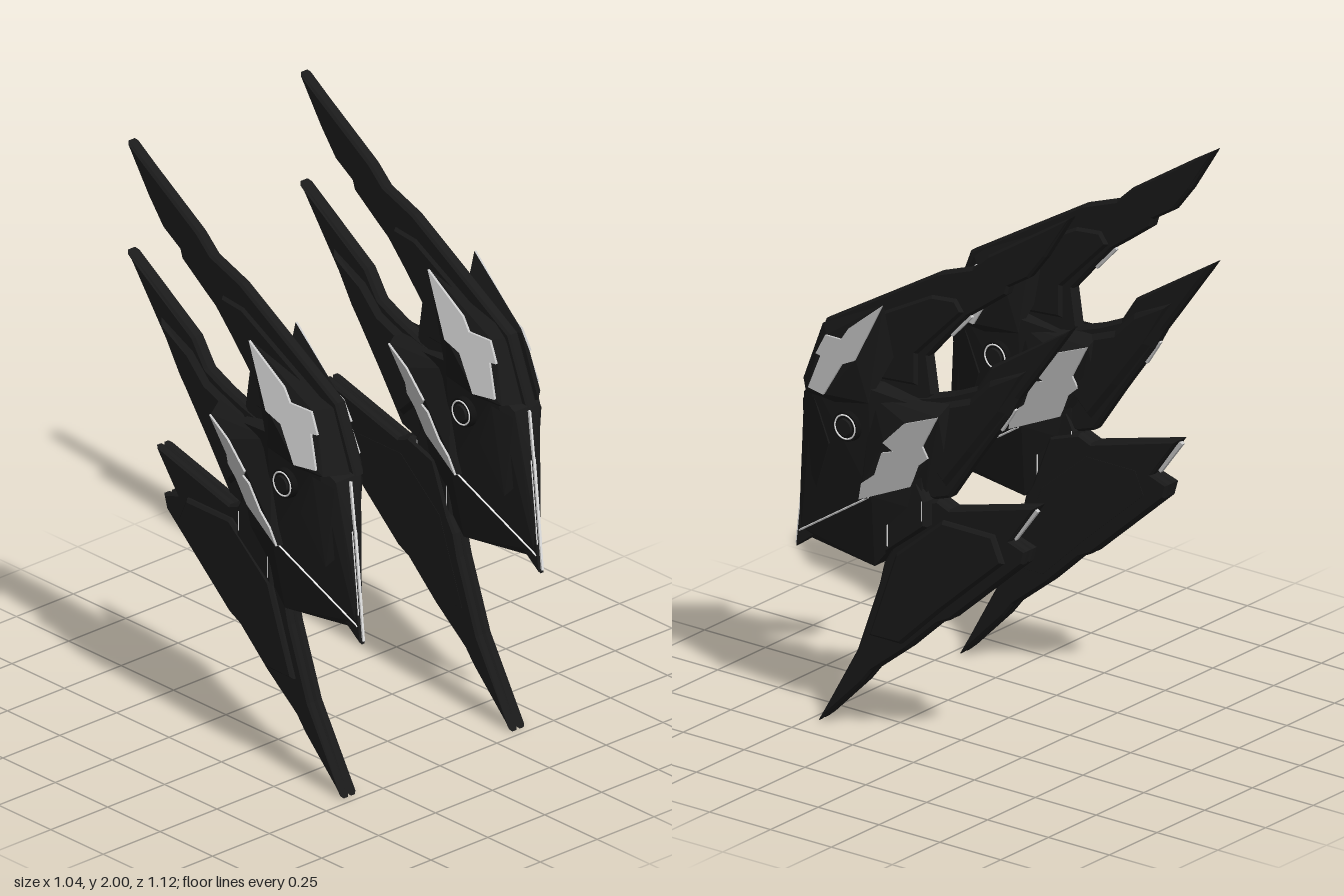
import * as THREE from 'three';
import { ConvexGeometry } from 'three/addons/geometries/ConvexGeometry.js';

const mat = (name, color) => Object.assign(new THREE.MeshStandardMaterial({ color }), { name });

// Outlines are [z, y] pairs in side profile
const UPPER = [[-.56, 2], [-.46, 1.94], [-.225, 1.79], [-.16, 1.73], [-.02, 1.68], [.44, 1.41], [.53, 1.18], [.46, 1.19],
  [.25, 1.13], [.03, 1.21], [0, 1.25], [.02, 1.38], [-.06, 1.47], [-.14, 1.555], [-.19, 1.59], [-.3, 1.67], [-.31, 1.7],
  [-.39, 1.75], [-.46, 1.84]];
const UPPER_LAYER = [[-.1, 1.61], [0, 1.6], [.38, 1.4], [.3, 1.25], [.06, 1.27], [.06, 1.38], [-.03, 1.47], [-.13, 1.57]];
const MIDDLE = [[-.56, 1.61], [-.24, 1.41], [-.18, 1.32], [-.09, 1.28], [0, 1.25], [.25, 1.18], [.2, .87], [-.01, .89],
  [-.07, .91], [-.18, 1.07], [-.31, 1.25], [-.35, 1.32], [-.54, 1.58]];
const MIDDLE_LAYER = [[-.39, 1.43], [-.24, 1.36], [-.16, 1.28], [0, 1.22], [.1, 1.1], [-.06, .95], [-.17, 1.09], [-.3, 1.26]];
const LOWER = [[-.42, .96], [-.07, .87], [-.02, .89], [.1, .85], [.17, .67], [.2, .62], [.22, .54], [.31, .29], [.47, .005],
  [.44, .03], [.29, .18], [.25, .23], [.11, .34], [-.02, .46], [-.07, .485], [-.37, .75], [-.385, .8], [-.32, .82]];
const LOWER_LAYER = [[-.26, .83], [-.05, .83], [.14, .67], [.19, .53], [.25, .36], [.12, .36], [-.05, .52], [-.3, .74]];
const KEEL = [[.5, 1.08], [.52, .97], [.56, .59], [.475, .65], [.4, .8]];
const UPPER_PANEL = [[.13, 1.56], [.23, 1.35], [.29, 1.32], [.36, 1.2], [.44, 1.2], [.4, 1.315], [.425, 1.315],
  [.39, 1.385], [.31, 1.395], [.28, 1.44]];
const LOWER_PANEL = [[-.08, 1.215], [-.01, 1.095], [-.02, 1.05], [.02, 1.015], [.06, .93], [.24, .855], [.22, .92],
  [.17, .96], [.13, 1.05], [.09, 1.06], [.12, 1.09], [.035, 1.175]];
const HIP = [[.17, .865], [.035, .955], [0, .89], [0, .8], [.17, .67]];

// Side-profile plate of thickness t, with edges chamfered inward
function plateGeometry(outline, t, bevel = 0) {
  const shape = new THREE.Shape(outline.map(([z, y]) => new THREE.Vector2(-z, y)));
  const g = new THREE.ExtrudeGeometry(shape, {
    depth: t - 2 * bevel, bevelEnabled: bevel > 0, bevelThickness: bevel,
    bevelSize: bevel, bevelOffset: -bevel, bevelSegments: 1,
  });
  return g.translate(0, 0, bevel - t / 2).rotateY(Math.PI / 2);
}

// Shift a plate sideways so that it lies on the slope x = f(z, y)
function slope(g, f) {
  const p = g.attributes.position;
  for (let i = 0; i < p.count; i++) p.setX(i, p.getX(i) + f(p.getZ(i), p.getY(i)));
  g.computeVertexNormals();
  return g;
}

// The upper panel faces forward and up, the lower one backward and down
const upperSlope = (z, y) => .112 - .28 * (z - .27) - .22 * (y - 1.34);
const lowerSlope = (z, y) => .076 + .33 * (z - .05) + .29 * (y - 1.04);

export function createModel() {
  const black = mat('black armour', 0x1a1a1a);
  const dark = mat('dark metal', 0x111111);
  const silver = mat('silver panel', 0xc8c8c8);
  const white = mat('white seam', 0xf4f4f4);
  const model = new THREE.Group();

  function buildUnit(side) {
    const unit = new THREE.Group();
    unit.name = side > 0 ? 'leftBladeUnit' : 'rightBladeUnit';
    unit.position.x = side * .393;
    const add = (name, g, m) => {
      const mesh = new THREE.Mesh(g, m);
      mesh.name = name;
      unit.add(mesh);
      return mesh;
    };
    const plate = (name, outline, t, bevel, x) => add(name, plateGeometry(outline, t, bevel).translate(x, 0, 0), black);
    // Convex armour block from [z, y, x] corners
    const block = (name, pts) => add(name, new ConvexGeometry(pts.map(([z, y, x]) => new THREE.Vector3(x, y, z))), black);
    // Thin straight strip between two [z, y, x] ends
    const strip = (name, a, b, w, m) => {
      const p = new THREE.Vector3(a[2], a[1], a[0]), q = new THREE.Vector3(b[2], b[1], b[0]);
      const mesh = add(name, new THREE.BoxGeometry(w, w, p.distanceTo(q)), m);
      mesh.position.copy(p).add(q).multiplyScalar(.5);
      mesh.quaternion.setFromUnitVectors(new THREE.Vector3(0, 0, 1), q.sub(p).normalize());
    };

    // Blades sit slightly towards the middle of the model
    const off = -side * .014;
    plate('upperBlade', UPPER, .044, .008, off);
    plate('upperBladeLayer', UPPER_LAYER, .064, .01, off);
    plate('middleBlade', MIDDLE, .05, .01, off);
    plate('middleBladeLayer', MIDDLE_LAYER, .086, .018, off);
    for (const s of [1, -1]) plate('lowerBladeHalf', LOWER, .034, .008, off * 1.6 + s * .016);
    plate('lowerBladeLayer', LOWER_LAYER, .084, .01, off);
    plate('keel', KEEL, .024, .006, 0);
    plate('hipPlate', HIP, .092, .01, 0);

    // Prow: wedge with a side ridge
    const prow = [[.555, .64, 0], [.52, .97, 0]];
    for (const s of [1, -1]) prow.push([.535, .665, s * .012], [.49, 1.16, s * .055], [.43, 1.22, s * .085], [.2, 1.25, s * .09],
      [.2, .87, s * .072], [.22, .61, s * .03], [.18, .68, s * .035], [.02, .85, s * .035], [.02, 1.22, s * .055]);
    block('prow', prow);
    strip('frontSeam', [.561, .6, 0], [.522, .97, 0], .008, white);
    strip('frontSeamTop', [.522, .97, 0], [.5, 1.15, 0], .008, white);

    for (const s of [1, -1]) {
      // Shoulder fin carrying the upper silver panel
      block('shoulderFin', [
        ...UPPER_PANEL.map(([z, y]) => [z, y, s * (upperSlope(z, y) - .004)]),
        [.44, 1.4, s * .02], [.52, 1.19, s * .02], [.3, 1.1, s * .02], [.15, 1.35, s * .02], [.46, 1.18, s * .085],
        [.2, 1.2, s * .09],
      ]);
      add('upperSilverPanel', slope(plateGeometry(UPPER_PANEL, .009), (z, y) => s * upperSlope(z, y)), silver);

      // Flank armour carrying the lower silver panel
      block('flankArmour', [
        ...LOWER_PANEL.map(([z, y]) => [z, y, s * (lowerSlope(z, y) - .004)]),
        [-.09, 1.25, s * .03], [.2, 1.22, s * .07], [.27, .86, s * .03], [.02, .9, s * .02], [-.06, 1.05, s * .02],
      ]);
      add('lowerSilverPanel', slope(plateGeometry(LOWER_PANEL, .009), (z, y) => s * lowerSlope(z, y)), silver);

      // Cheek plate in front of the joint
      block('cheekPlate', [[.49, 1.14, s * .062], [.42, 1.17, s * .094], [.36, 1.02, s * .092], [.44, .84, s * .055],
        [.51, .92, s * .025], [.4, 1, s * .02]]);

      // Round joint with a bright ring
      const joint = add('jointDisc', new THREE.CylinderGeometry(.05, .056, .05, 24).rotateZ(-s * Math.PI / 2), dark);
      joint.position.set(s * .078, 1.1, .285);
      const ring = add('jointRing', new THREE.TorusGeometry(.041, .003, 6, 28).rotateY(Math.PI / 2), white);
      ring.position.set(s * .103, 1.1, .285);
      const cap = add('jointCap', new THREE.CylinderGeometry(.028, .032, .012, 20).rotateZ(-s * Math.PI / 2), black);
      cap.position.set(s * .105, 1.1, .285);

      // Bright seams along the prow ridge and hip plate
      strip('prowSeam', [.545, .65, s * .011], [.21, .865, s * .073], .005, white);
      strip('prowFrontSeam', [.547, .69, s * .009], [.517, .98, s * .009], .004, white);
      strip('hipSeamFront', [.155, .7, s * .045], [.155, .8, s * .045], .004, white);
      strip('hipSeamTop', [.14, .84, s * .045], [.08, .9, s * .045], .004, white);
      strip('hipSeamBack', [.015, .89, s * .045], [.015, .82, s * .045], .004, white);
    }

    // Silver edges on the blades
    strip('upperBladeEdge', [-.145, 1.555, off], [-.065, 1.47, off], .012, silver);
    strip('middleBladeEdge', [-.325, 1.275, off], [-.27, 1.19, off], .012, silver);
    strip('lowerBladeEdge', [-.415, .945, off], [-.325, .825, off], .014, silver);
    return unit;
  }

  for (const side of [1, -1]) model.add(buildUnit(side));
  return model;
}
